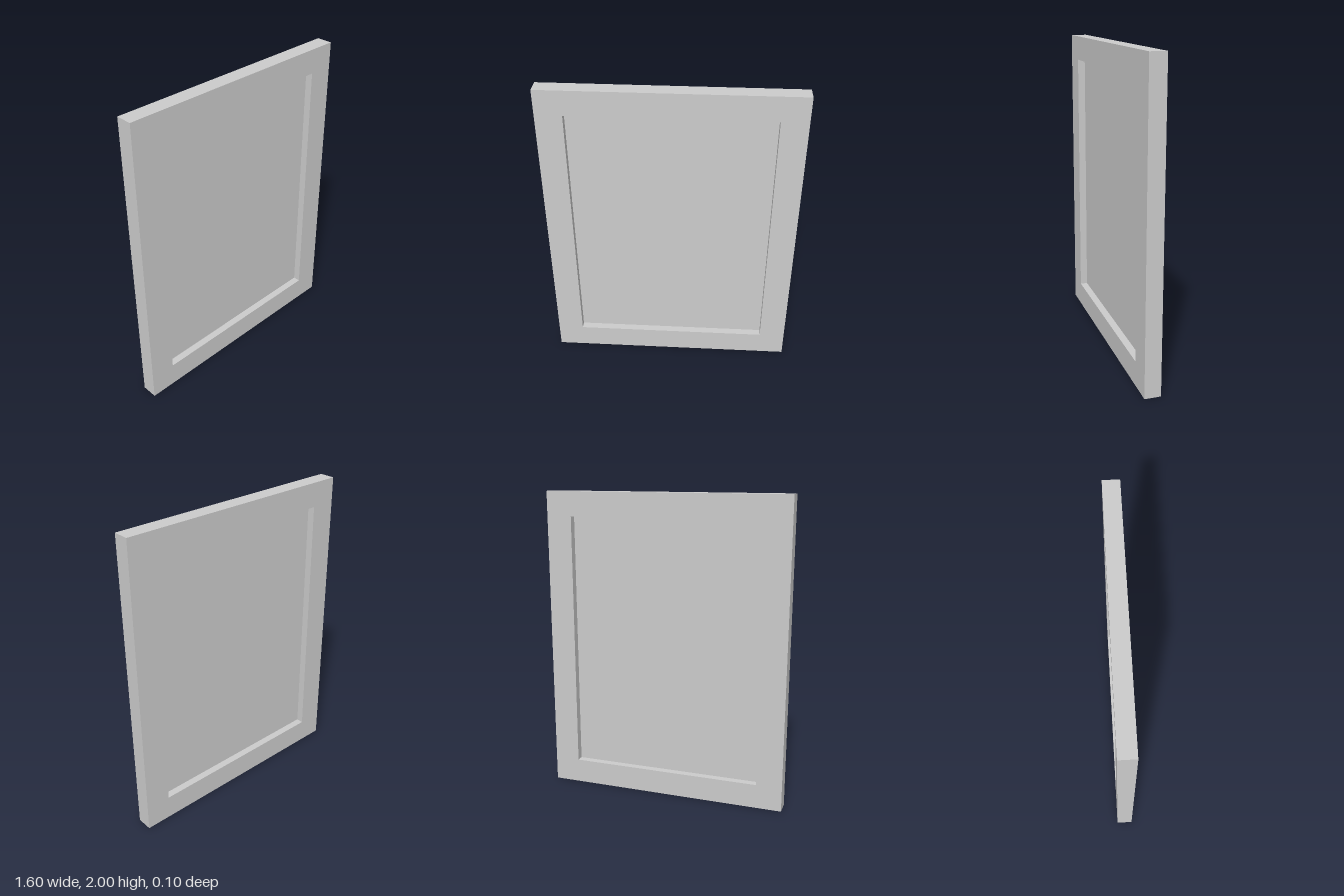
import * as THREE from 'three';

const WIDTH = 1.6, HEIGHT = 2, DEPTH = 0.104;
const OPEN_W = 1.264, OPEN_H = 1.68;
const PANEL_DEPTH = 0.008;

// Closed rectangular outline centred on the origin
function rectangle(Type, w, h) {
  const path = new Type();
  path.moveTo(-w / 2, -h / 2);
  path.lineTo(w / 2, -h / 2);
  path.lineTo(w / 2, h / 2);
  path.lineTo(-w / 2, h / 2);
  path.closePath();
  return path;
}

export function createModel() {
  const group = new THREE.Group();
  group.name = 'framedPanel';
  const material = new THREE.MeshStandardMaterial({ color: 0xcccccc });

  // Square-edged border with a rectangular opening
  const outline = rectangle(THREE.Shape, WIDTH, HEIGHT);
  outline.holes.push(rectangle(THREE.Path, OPEN_W, OPEN_H));
  const frameGeometry = new THREE.ExtrudeGeometry(outline, { depth: DEPTH, bevelEnabled: false });
  frameGeometry.translate(0, HEIGHT / 2, -DEPTH / 2);
  const frame = new THREE.Mesh(frameGeometry, material);
  frame.name = 'frame';

  // Thin panel set midway through the frame, recessed on both sides
  const panel = new THREE.Mesh(new THREE.BoxGeometry(OPEN_W, OPEN_H, PANEL_DEPTH), material);
  panel.name = 'panel';
  panel.position.y = HEIGHT / 2;

  group.add(frame, panel);
  return group;
}
